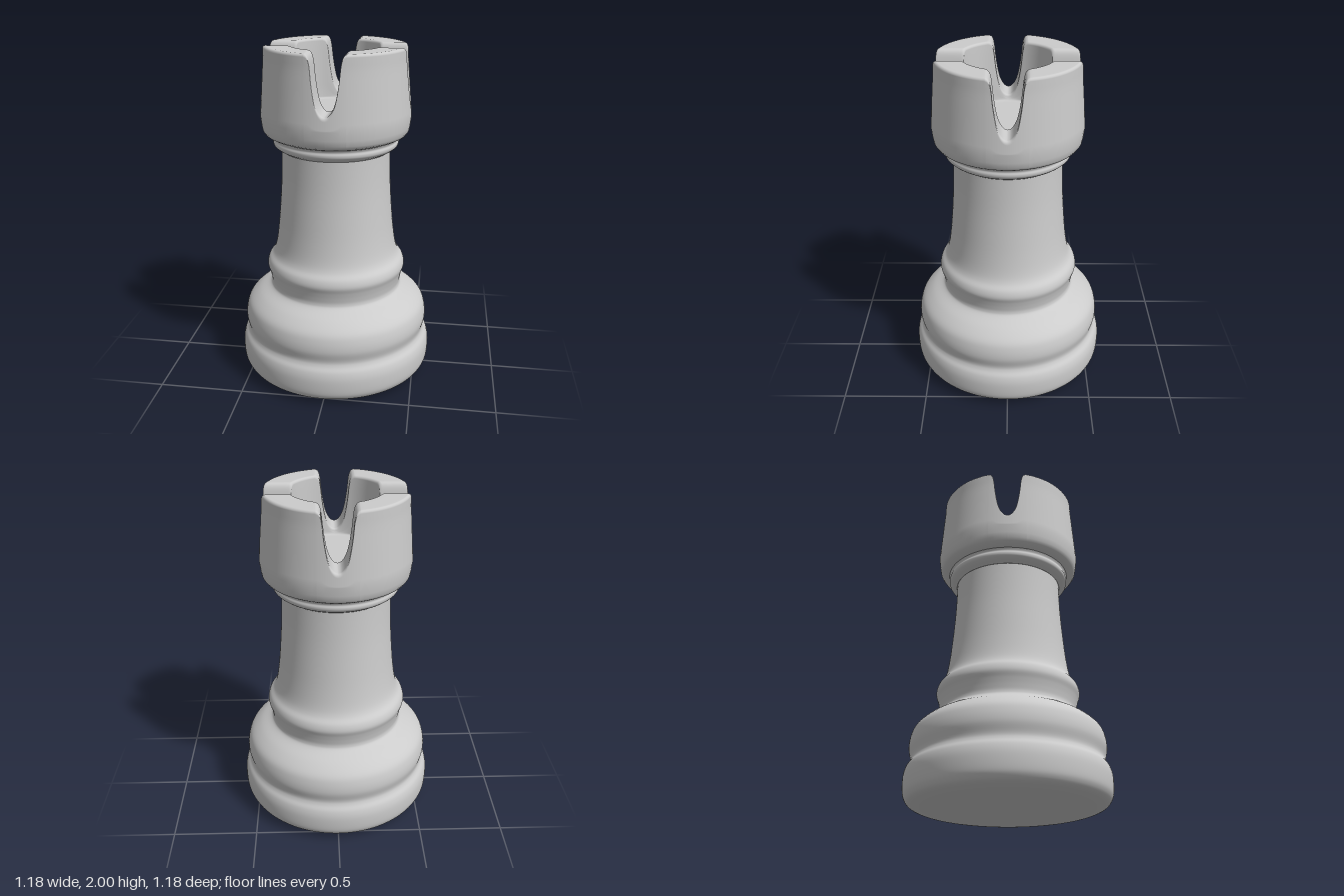
import * as THREE from 'three';

const v2 = (pairs) => pairs.map(([x, y]) => new THREE.Vector2(x, y));
const spline = (pairs, n) => new THREE.SplineCurve(v2(pairs)).getPoints(n);

// Turned base, stem and collar
const BODY = [
  [0.3, 0.003], [0.49, 0.018], [0.55, 0.032], [0.576, 0.06], [0.586, 0.1], [0.587, 0.17], [0.576, 0.218],
  [0.556, 0.25], [0.55, 0.28], [0.562, 0.34], [0.556, 0.4], [0.535, 0.45],
  [0.48, 0.5], [0.412, 0.54], [0.397, 0.565], [0.4, 0.6], [0.409, 0.64],
  [0.42, 0.68], [0.41, 0.72], [0.383, 0.755], [0.366, 0.8], [0.352, 0.88],
  [0.339, 1], [0.324, 1.2], [0.318, 1.385], [0.322, 1.403], [0.345, 1.417],
  [0.363, 1.433], [0.367, 1.45], [0.363, 1.466], [0.37, 1.482],
];

// Half of the U-shaped notch: distance from its middle, height
const NOTCH = [
  [0, 1.675], [0.016, 1.68], [0.032, 1.697], [0.045, 1.722], [0.057, 1.76],
  [0.068, 1.82], [0.076, 1.88], [0.082, 1.94], [0.089, 1.975], [0.1, 1.993], [0.115, 2],
];
const INNER = 0.26, FLOOR = 1.64;

// Radius of the crown's outer wall above its widest line
const wallRadius = (y) => 0.436 - 0.024 * Math.min(1, Math.max(0, (y - 1.6) / 0.33));

// Cross-section of the crown wall, from underside over the rim to the floor, for rim height h
function crownSection(h) {
  const pts = [[0.37, 1.482], [0.39, 1.49], [0.412, 1.503], [0.424, 1.52], [0.43, 1.55], [0.436, 1.6]];
  const round = 0.016, ro = wallRadius(h);
  for (let i = 1; i <= 10; i++) {
    const y = 1.6 + (h - round - 1.6) * i / 10;
    pts.push([wallRadius(y), y]);
  }
  for (let i = 1; i <= 4; i++) {
    const a = i / 4 * Math.PI / 2;
    pts.push([ro - round * (1 - Math.cos(a)), h - round * (1 - Math.sin(a))]);
  }
  for (let i = 1; i <= 4; i++) pts.push([ro - round + (INNER + 2 * round - ro) * i / 4, h]);
  for (let i = 1; i <= 4; i++) {
    const a = i / 4 * Math.PI / 2;
    pts.push([INNER + round * (1 - Math.sin(a)), h - round * (1 - Math.cos(a))]);
  }
  const foot = FLOOR + 0.012;
  for (let i = 1; i <= 5; i++) pts.push([INNER - 0.004 * i / 5, h - round + (foot - h + round) * i / 5]);
  pts.push([0.252, FLOOR + 0.003], [0.243, FLOOR], [0.22, FLOOR], [0, FLOOR]);
  return pts;
}

// Crown: columns keep straight, parallel-sided notches and fan out across the merlons
function crownGeometry() {
  const half = spline(NOTCH, 30);
  const notch = [...half.slice(1).reverse().map((p) => [-p.x, p.y]), ...half.map((p) => [p.x, p.y])];
  const w = half[half.length - 1].x;
  const columns = [];
  for (let k = 0; k < 4; k++) {
    const a = k * Math.PI / 2;
    for (const [x, h] of notch) columns.push({ h, angle: (r) => a + Math.asin(x / r) });
    for (let i = 1; i < 20; i++) {
      const t = i / 20;
      columns.push({ h: 2, angle: (r) => {
        const edge = Math.asin(w / r);
        return a + edge + (Math.PI / 2 - 2 * edge) * t;
      } });
    }
  }
  const pos = [], index = [];
  let rows = 0;
  columns.forEach((c, u) => {
    const section = crownSection(c.h);
    rows = section.length;
    const next = (u + 1) % columns.length;
    section.forEach(([r, y], v) => {
      const phi = c.angle(Math.max(r, 0.24));
      pos.push(r * Math.sin(phi), y, r * Math.cos(phi));
      if (v === rows - 1) return;
      const p = u * rows + v, q = next * rows + v;
      index.push(p, q, q + 1);
      if (v < rows - 2) index.push(p, q + 1, p + 1);
    });
  });
  const g = new THREE.BufferGeometry();
  g.setAttribute('position', new THREE.Float32BufferAttribute(pos, 3));
  g.setIndex(index);
  g.computeVertexNormals();
  return g;
}

export function createModel() {
  const group = new THREE.Group();
  group.name = 'rook';
  const material = new THREE.MeshStandardMaterial({ color: 0xcccccc });
  const add = (name, geometry) => {
    const mesh = new THREE.Mesh(geometry, material);
    mesh.name = name;
    group.add(mesh);
  };
  add('body', new THREE.LatheGeometry([new THREE.Vector2(0, 0), ...spline(BODY, 150)], 128));
  add('crown', crownGeometry());
  return group;
}
